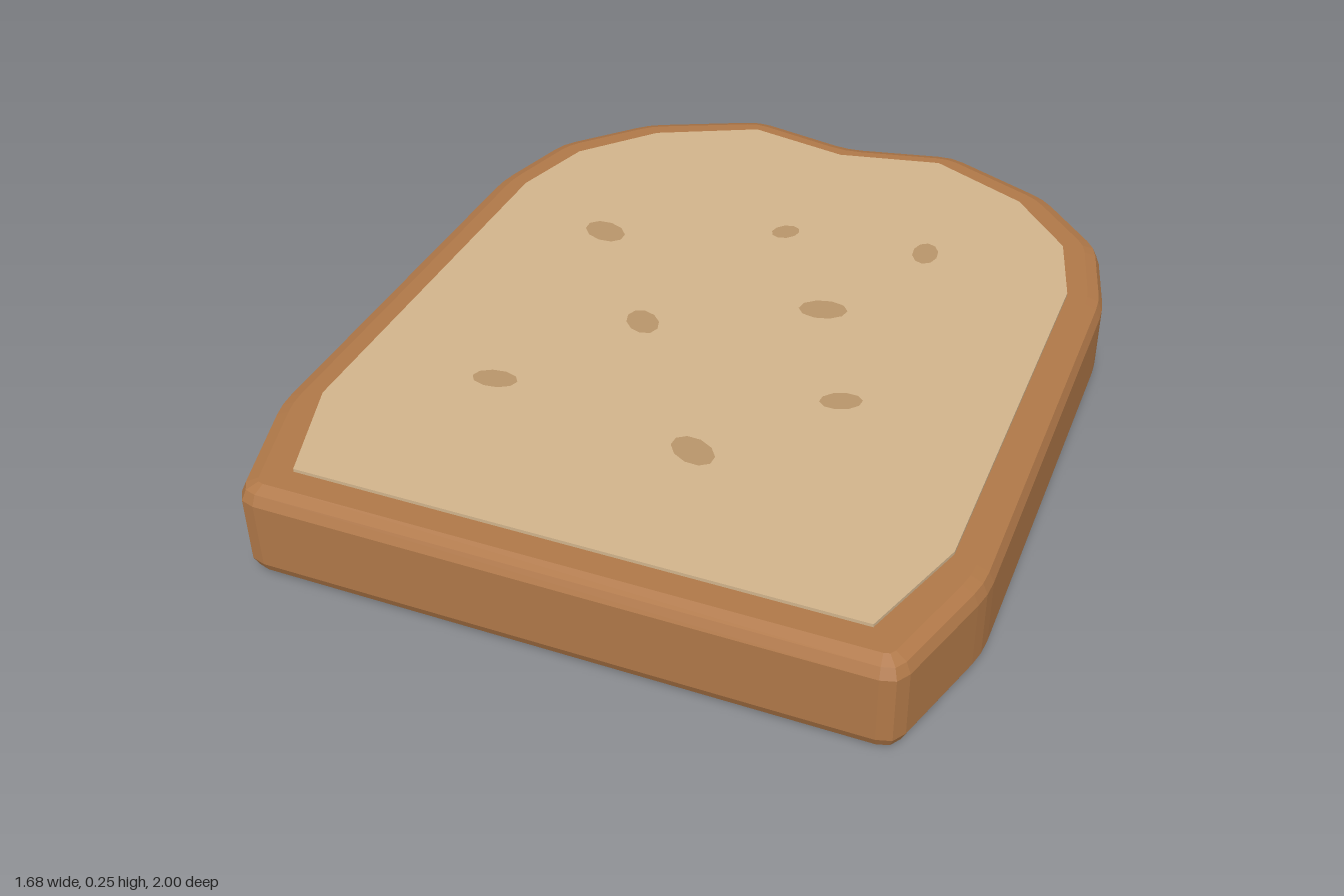
import * as THREE from 'three';

const material = (color) => new THREE.MeshStandardMaterial({ color, flatShading: true });

// Mirrors a half outline (x, z from back notch to front corner) and softens each corner by `cut`
function outline(half, cut) {
  const mirrored = half.filter(([x]) => x > 0).map(([x, z]) => [-x, z]).reverse();
  const pts = [...half, ...mirrored].map(([x, z]) => new THREE.Vector2(x, -z));
  if (!cut) return new THREE.Shape(pts);
  const soft = [];
  pts.forEach((p, i) => {
    const prev = pts[(i + pts.length - 1) % pts.length];
    const next = pts[(i + 1) % pts.length];
    const a = p.clone().add(prev.clone().sub(p).setLength(cut));
    const b = p.clone().add(next.clone().sub(p).setLength(cut));
    soft.push(...new THREE.QuadraticBezierCurve(a, p, b).getPoints(2));
  });
  return new THREE.Shape(soft);
}

// Lays a shape flat with its underside at height y
function slab(name, shape, y, options, color) {
  const geometry = new THREE.ExtrudeGeometry(shape, options);
  geometry.rotateX(-Math.PI / 2);
  geometry.translate(0, y, 0);
  const mesh = new THREE.Mesh(geometry, material(color));
  mesh.name = name;
  return mesh;
}

export function createModel() {
  const model = new THREE.Group();
  model.name = 'breadSlice';

  // Crust: thick slab with bevelled rims
  const crustHalf = [
    [0, -0.945], [0.29, -1.007], [0.59, -0.87], [0.775, -0.67],
    [0.84, -0.42], [0.84, 0.69], [0.745, 1],
  ];
  const bevel = 0.035;
  model.add(slab('crust', outline(crustHalf, 0.04), bevel, {
    depth: 0.234 - 2 * bevel, bevelThickness: bevel, bevelSize: 0.04,
    bevelOffset: -0.04, bevelSegments: 2,
  }, 0xb07848));

  // Crumb: thin pale plate standing just proud of the crust
  const crumbHalf = [
    [0, -0.865], [0.27, -0.92], [0.53, -0.795], [0.69, -0.615],
    [0.75, -0.4], [0.75, 0.635], [0.66, 0.9],
  ];
  model.add(slab('crumb', outline(crumbHalf, 0), 0.21,
    { depth: 0.032, bevelEnabled: false }, 0xd2b48c));

  // Pores: small flat ovals [x, z, long radius, short radius, turn]
  const pores = new THREE.Group();
  pores.name = 'pores';
  const poreData = [
    [-0.44, -0.245, 0.06, 0.042, -0.4], [0, -0.415, 0.038, 0.03, 0.8],
    [0.37, -0.445, 0.05, 0.033, 1.7], [0.21, -0.105, 0.06, 0.04, 0.25],
    [-0.18, 0.105, 0.052, 0.038, -0.8], [0.37, 0.235, 0.05, 0.032, 0.4],
    [-0.405, 0.445, 0.055, 0.033, 0.12], [0.125, 0.527, 0.06, 0.04, -0.5],
  ];
  const poreMaterial = material(0xb8956a);
  for (const [x, z, long, short, turn] of poreData) {
    const geometry = new THREE.CircleGeometry(1, 10);
    geometry.scale(long, short, 1).rotateZ(turn).rotateX(-Math.PI / 2);
    const pore = new THREE.Mesh(geometry, poreMaterial);
    pore.name = 'pore';
    pore.position.set(x, 0.245, z);
    pores.add(pore);
  }
  model.add(pores);
  return model;
}
